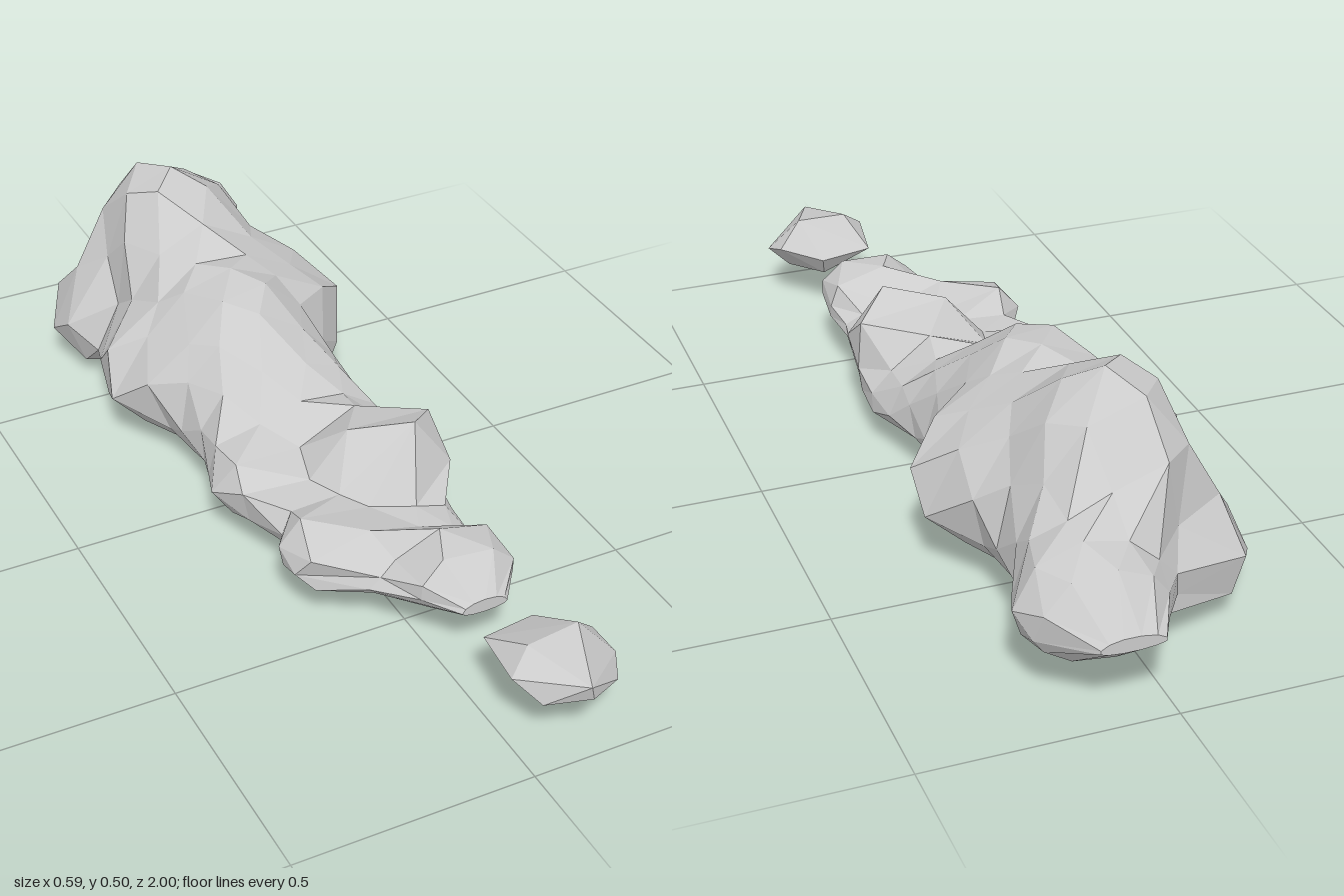
import * as THREE from 'three';
import { ConvexGeometry } from 'three/addons/geometries/ConvexGeometry.js';

const material = new THREE.MeshStandardMaterial({ color: 0xcccccc, flatShading: true });

// Core sections: z, right x, left x, bottom, waist height, top, crest x
const SECTIONS = [
  [0.67, 0.03, 0.13, 0.12, 0.13, 0.15, 0.08],
  [0.57, -0.03, 0.2, 0.09, 0.12, 0.17, 0.08],
  [0.45, -0.14, 0.18, 0.075, 0.11, 0.16, 0.04],
  [0.36, -0.18, 0.19, 0.06, 0.11, 0.17, 0],
  [0.2, -0.15, 0.22, 0.04, 0.1, 0.19, 0.02],
  [0.09, -0.2, 0.23, 0.035, 0.1, 0.2, 0],
  [-0.02, -0.19, 0.19, 0.03, 0.12, 0.28, 0],
  [-0.18, -0.21, 0.17, 0, 0.13, 0.37, -0.02],
  [-0.38, -0.22, 0.24, 0.005, 0.14, 0.39, 0],
  [-0.55, -0.18, 0.2, 0.02, 0.15, 0.42, -0.02],
  [-0.7, -0.16, 0.2, 0.04, 0.15, 0.4, 0],
  [-0.83, -0.07, 0.23, 0.08, 0.15, 0.28, 0.08],
  [-0.95, 0.01, 0.2, 0.13, 0.16, 0.23, 0.1],
  [-1, 0.03, 0.16, 0.16, 0.17, 0.19, 0.1],
];

// Puffs swelling out of the core: centre, radii
const PUFFS = [
  [[-0.03, 0.31, -0.59], [0.14, 0.19, 0.2]],     // crown
  [[0.07, 0.34, -0.58], [0.085, 0.085, 0.14]],   // crown left
  [[0.12, 0.19, -0.84], [0.15, 0.11, 0.155]],    // rear
  [[-0.155, 0.13, -0.655], [0.135, 0.125, 0.15]], // rear right
  [[0.135, 0.19, -0.39], [0.165, 0.135, 0.18]],  // middle left
  [[-0.17, 0.16, -0.33], [0.13, 0.115, 0.16]],   // middle right
  [[-0.02, 0.25, -0.25], [0.15, 0.15, 0.19]],    // shoulder
  [[0.11, 0.19, 0.215], [0.13, 0.12, 0.13]],     // front left
  [[-0.13, 0.14, 0.1], [0.11, 0.08, 0.13]],      // waist right
  [[-0.1, 0.14, 0.38], [0.11, 0.08, 0.12]],      // front right
  [[0.08, 0.15, 0.55], [0.12, 0.075, 0.11]],     // nose
];

// Section values at any z
function sectionAt(z) {
  let i = 0;
  while (i < SECTIONS.length - 2 && z < SECTIONS[i + 1][0]) i++;
  const a = SECTIONS[i], b = SECTIONS[i + 1];
  const t = (a[0] - z) / (a[0] - b[0]);
  return a.map((v, k) => v + (b[k] - v) * t);
}

// How far a ray in the section plane goes before leaving a puff (0 if it misses)
function puffReach([centre, radii], x, y, z, dx, dy) {
  const ox = (x - centre[0]) / radii[0];
  const oy = (y - centre[1]) / radii[1];
  const oz = (z - centre[2]) / radii[2];
  const ux = dx / radii[0], uy = dy / radii[1];
  const a = ux * ux + uy * uy;
  const b = ox * ux + oy * uy;
  const disc = b * b - a * (ox * ox + oy * oy + oz * oz - 1);
  return disc > 0 ? (Math.sqrt(disc) - b) / a : 0;
}

// Repeatable value from -0.5 to 0.5
function jitter(n) {
  const s = Math.sin(n * 12.9898) * 437.585;
  return s - Math.floor(s) - 0.5;
}

// One skin wrapped over the core and its puffs
function bodyGeometry() {
  const sides = 12, rings = 22, positions = [], index = [];
  const front = SECTIONS[0][0], length = front + 1;
  for (let r = 0; r < rings; r++) {
    const isEnd = r === 0 || r === rings - 1;
    for (let i = 0; i < sides; i++) {
      const wobble = isEnd ? 0 : jitter(r * sides + i + 1) * 0.035;
      const z = front - (length * r) / (rings - 1) + wobble;
      const [, xl, xr, yb, yw, yt, xc] = sectionAt(z);
      const angle = ((i + (r % 2) / 2) / sides) * Math.PI * 2;
      const c = Math.cos(angle), s = Math.sin(angle);
      const dx = c * (c > 0 ? xr - xc : xc - xl);
      const dy = s * (s > 0 ? yt - yw : yw - yb);
      const reach = isEnd ? 1 : Math.max(1, ...PUFFS.map((p) => puffReach(p, xc, yw, z, dx, dy)));
      positions.push(xc + dx * reach, Math.max(0, yw + dy * reach), z);
    }
  }
  // Alternate rings are turned half a step, so the diagonals alternate too
  for (let r = 0; r < rings - 1; r++) {
    for (let i = 0; i < sides; i++) {
      const a = r * sides + i, b = r * sides + ((i + 1) % sides);
      const c = a + sides, d = b + sides;
      if (r % 2) index.push(a, c, d, a, d, b);
      else index.push(a, c, b, b, c, d);
    }
  }
  // End caps
  const last = (rings - 1) * sides;
  for (let i = 1; i < sides - 1; i++) {
    index.push(0, i, i + 1, last, last + i + 1, last + i);
  }
  const geometry = new THREE.BufferGeometry();
  geometry.setAttribute('position', new THREE.Float32BufferAttribute(positions, 3));
  geometry.setIndex(index);
  geometry.computeVertexNormals();
  return geometry;
}

// Small separate cloudlet in front
function cloudletGeometry() {
  const corners = [
    [0, 0.16, 0.9], [0.02, 0.15, 0.765], [0.14, 0.145, 0.745], [0.22, 0.15, 0.83],
    [0.235, 0.13, 0.89], [0.21, 0.11, 0.94], [0.11, 0.175, 1], [0.12, 0.14, 0.995],
    [0.04, 0.12, 0.95], [0.05, 0.2, 0.87], [0.165, 0.205, 0.86], [0.12, 0.065, 0.91],
    [0.13, 0.1, 0.775], [0.05, 0.1, 0.85], [0.19, 0.09, 0.87],
  ];
  return new ConvexGeometry(corners.map((c) => new THREE.Vector3(...c)));
}

export function createModel() {
  const group = new THREE.Group();
  group.name = 'cloud';
  for (const [name, geometry] of [
    ['cloudBody', bodyGeometry()],
    ['cloudlet', cloudletGeometry()],
  ]) {
    const mesh = new THREE.Mesh(geometry, material);
    mesh.name = name;
    group.add(mesh);
  }
  return group;
}
